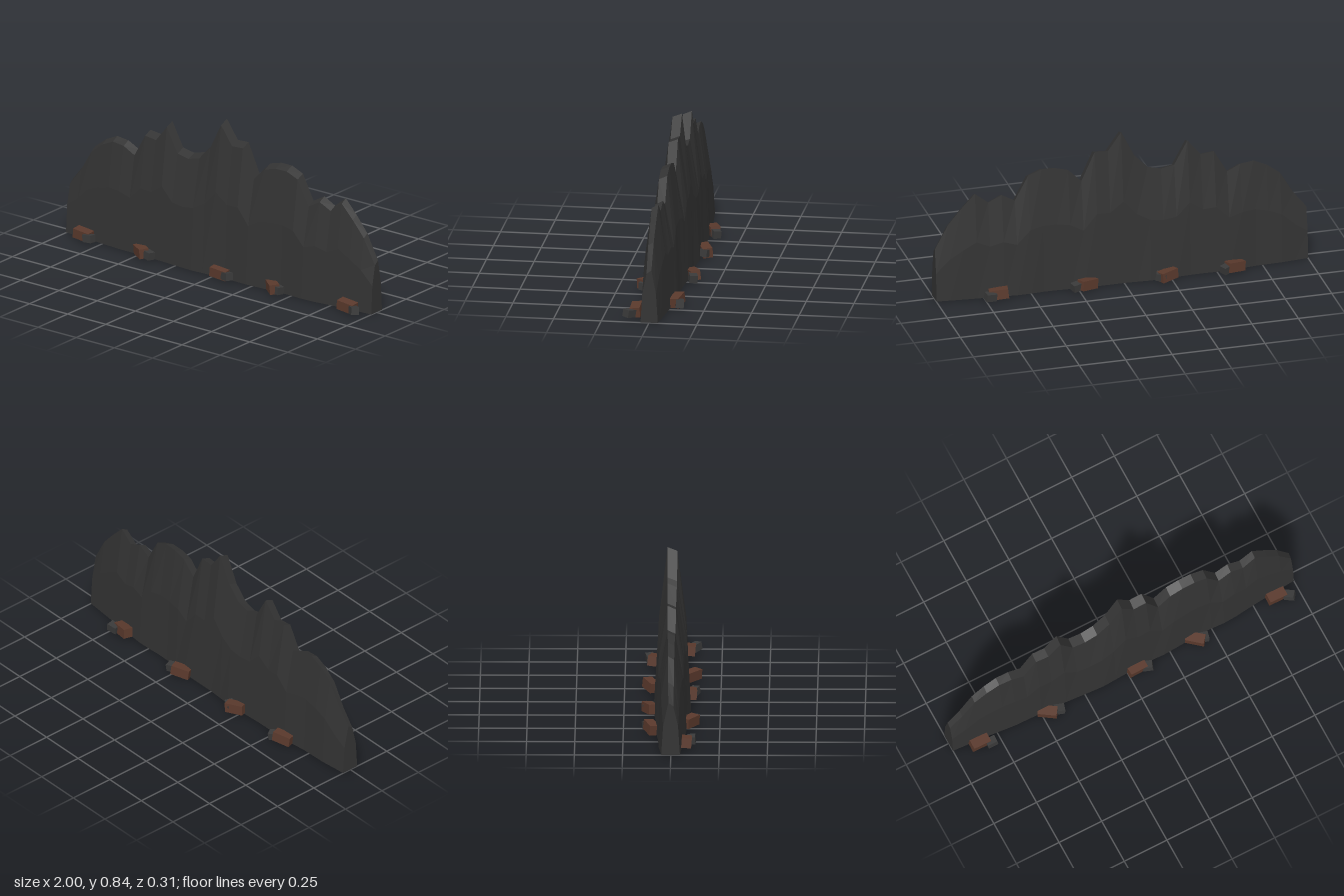
import * as THREE from 'three';

const wallStone = new THREE.MeshStandardMaterial({ color: 0x333333, flatShading: true });
wallStone.name = 'charcoal stone';
const rubbleStone = new THREE.MeshStandardMaterial({ color: 0x393939, flatShading: true });
rubbleStone.name = 'grey rubble';
const brick = new THREE.MeshStandardMaterial({ color: 0x5a392c, flatShading: true });
brick.name = 'brown brick';

// Broken skyline: height of the back crest at evenly spaced stations
const crest = [
  0.285, 0.375, 0.495, 0.55, 0.583, 0.575, 0.54, 0.665, 0.657, 0.745,
  0.615, 0.602, 0.622, 0.695, 0.838, 0.738, 0.742, 0.585, 0.657, 0.677,
  0.678, 0.65, 0.517, 0.557, 0.523, 0.58, 0.505, 0.42, 0.287,
];

// Base depth in front of and behind the centre line, as [x, z] points
const frontFoot = [[-1, 0.047], [-0.8, 0.06], [-0.65, 0.074], [-0.4, 0.08], [-0.15, 0.098],
  [0.1, 0.085], [0.22, 0.09], [0.45, 0.075], [0.6, 0.083], [0.75, 0.065], [1, 0.044]];
const backFoot = [[-1, 0.05], [-0.85, 0.065], [-0.7, 0.069], [-0.55, 0.088], [-0.4, 0.083],
  [-0.15, 0.097], [0, 0.088], [0.2, 0.09], [0.4, 0.077], [0.55, 0.086], [0.8, 0.065], [1, 0.046]];

function sample(points, x) {
  let i = 0;
  while (i < points.length - 2 && x > points[i + 1][0]) i++;
  const [x0, a] = points[i], [x1, b] = points[i + 1];
  return a + (b - a) * (x - x0) / (x1 - x0);
}

// Wall: six-cornered cross-sections lofted along x, with closed ends
function wallGeometry() {
  const pos = [], index = [], n = crest.length, ring = 6;
  crest.forEach((h, i) => {
    const x = -1 + 2 * i / (n - 1);
    const f = sample(frontFoot, x), b = sample(backFoot, x);
    const top = 0.013 + 0.012 * (1 - x * x);
    const section = [
      [0.004, f], [0.55 * h, f * 0.8], [h - 0.02, top],
      [h, -top], [0.55 * h, -b * 0.8], [0.004, -b],
    ];
    section.forEach(([y, z]) => pos.push(x, y, z));
  });
  for (let i = 0; i < n - 1; i++) {
    for (let j = 0; j < ring; j++) {
      const k = (j + 1) % ring;
      const a = i * ring + j, b = i * ring + k, c = a + ring, d = b + ring;
      index.push(a, c, d, a, d, b);
    }
  }
  const e = (n - 1) * ring;
  for (const [a, b, c] of [[0, 1, 5], [1, 4, 5], [1, 2, 4], [2, 3, 4]]) {
    index.push(a, b, c, e + a, e + c, e + b);
  }
  const g = new THREE.BufferGeometry();
  g.setAttribute('position', new THREE.Float32BufferAttribute(pos, 3));
  g.setIndex(index);
  const flat = g.toNonIndexed();
  flat.computeVertexNormals();
  return flat;
}

function block(name, material, size, at, turn) {
  const m = new THREE.Mesh(new THREE.BoxGeometry(...size), material);
  m.name = name;
  m.position.set(...at);
  m.rotation.set(...turn);
  return m;
}

// Rubble piles: brick x, z, turn, then grey stone x, z, turn
const piles = [
  [-0.86, 0.08, 0, -0.805, 0.105, -0.05],
  [-0.47, 0.095, -0.6, -0.41, 0.11, -0.3],
  [0.05, 0.098, 0.05, 0.105, 0.113, -0.4],
  [0.395, 0.098, -0.7, 0.435, 0.108, -0.25],
  [0.875, 0.085, 0, 0.938, 0.112, -0.65],
  [-0.59, -0.105, 0.35, -0.54, -0.122, 0.5],
  [-0.225, -0.115, 0.4, -0.19, -0.122, -0.4],
  [0.205, -0.113, 0.45, 0.265, -0.122, 0.3],
  [0.68, -0.1, -0.2, 0.73, -0.122, 0.15],
];

export function createModel() {
  const group = new THREE.Group();
  group.name = 'ruinedWall';

  const wall = new THREE.Mesh(wallGeometry(), wallStone);
  wall.name = 'wall';
  group.add(wall);

  piles.forEach(([bx, bz, bt, sx, sz, st], i) => {
    const pile = new THREE.Group();
    pile.name = 'rubblePile' + (i + 1);
    const tilt = i % 2 ? 0.08 : -0.1;
    pile.add(
      block('brick', brick, [0.1, 0.052, 0.052], [bx, 0.036, bz], [0.08, bt, tilt]),
      block('stone', rubbleStone, [0.055, 0.04, 0.042], [sx, 0.033, sz], [-0.08, st, -tilt]),
    );
    group.add(pile);
  });

  return group;
}
